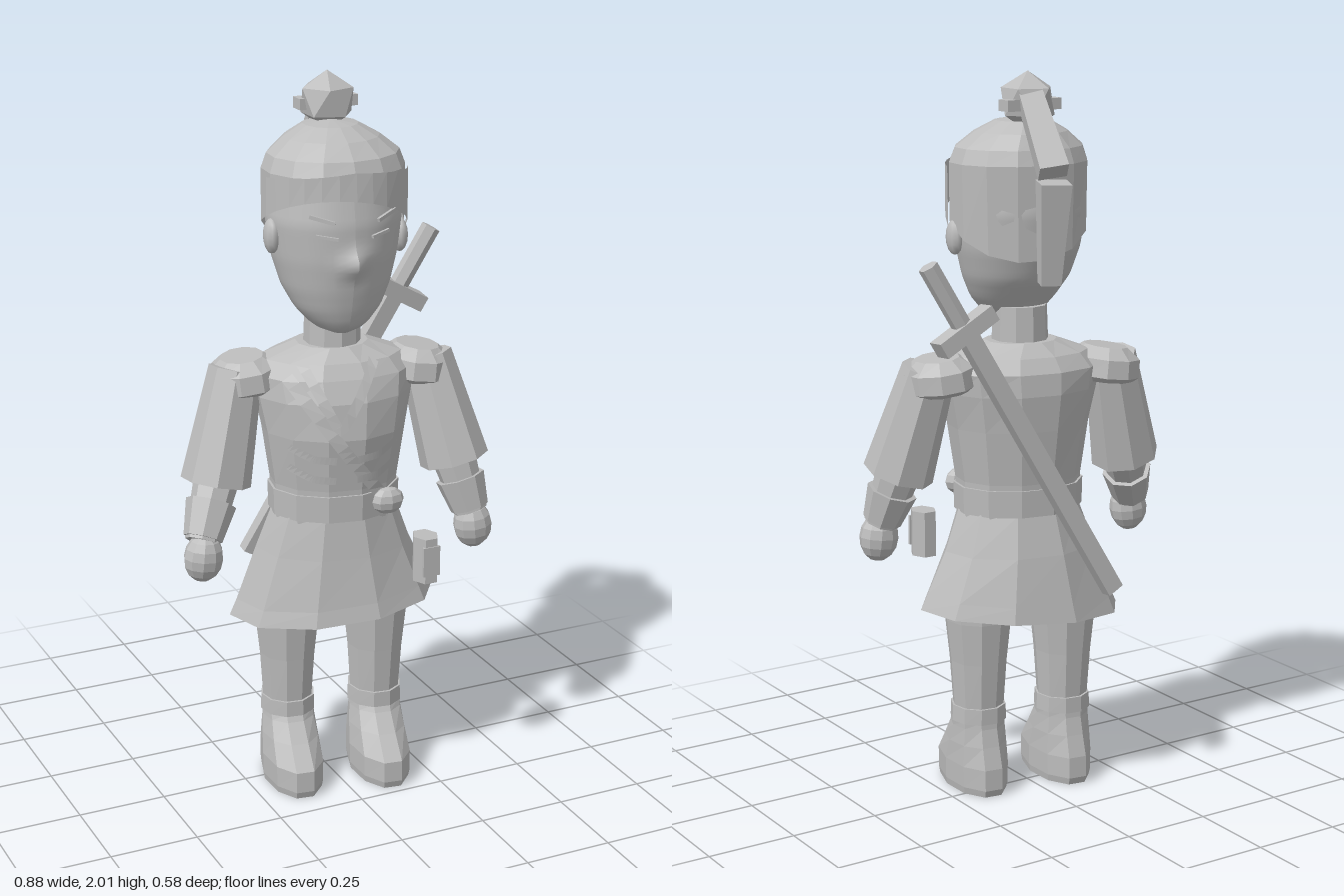
import * as THREE from 'three';

const grey = new THREE.MeshStandardMaterial({ color: 0xbcbcbc, side: THREE.DoubleSide });
grey.name = 'plainGrey';

const V = (x, y, z) => new THREE.Vector3(x, y, z);

function add(parent, name, geo, pos = [0, 0, 0], rot = [0, 0, 0], smooth = false) {
  if (!smooth) {
    if (geo.index) geo = geo.toNonIndexed();
    geo.computeVertexNormals();
  }
  const mesh = new THREE.Mesh(geo, grey);
  mesh.name = name;
  mesh.position.set(...pos);
  mesh.rotation.set(...rot);
  parent.add(mesh);
  return mesh;
}

function group(parent, name, pos, rot) {
  const g = new THREE.Group();
  g.name = name;
  g.position.set(...pos);
  g.rotation.set(...rot);
  parent.add(g);
  return g;
}

// Rows of points from point(u, v), v going upward; optional caps close both ends
function grid(nu, nv, point, capped) {
  const pos = [], idx = [], w = nu + 1;
  for (let j = 0; j <= nv; j++)
    for (let i = 0; i <= nu; i++) pos.push(...point(i / nu, j / nv));
  for (let j = 0; j < nv; j++)
    for (let i = 0; i < nu; i++) {
      const a = j * w + i, b = a + 1, c = a + w, d = c + 1;
      idx.push(a, b, d, a, d, c);
    }
  if (capped)
    for (let i = 1; i < nu - 1; i++) {
      const t = nv * w;
      idx.push(0, i + 1, i, t, t + i, t + i + 1);
    }
  const g = new THREE.BufferGeometry();
  g.setAttribute('position', new THREE.Float32BufferAttribute(pos, 3));
  g.setIndex(idx);
  g.computeVertexNormals();
  return g;
}

// Interpolate cross-sections [y, centreZ, radiusX, radiusZ] at height y
function sectionAt(sections, y) {
  let k = 0;
  while (k < sections.length - 2 && y > sections[k + 1][0]) k++;
  const a = sections[k], b = sections[k + 1];
  const t = THREE.MathUtils.clamp((y - a[0]) / (b[0] - a[0]), 0, 1);
  return a.map((n, i) => n + (b[i] - n) * t);
}

function ring([y, cz, rx, rz], angle) {
  return [rx * Math.sin(angle), y, cz + rz * Math.cos(angle)];
}

function loft(sections, sides) {
  return grid(sides, sections.length - 1, (u, v) =>
    ring(sections[Math.round(v * (sections.length - 1))], (u + 0.5 / sides) * Math.PI * 2), true);
}

// Tapered limb from point a to point b
function limb(parent, name, a, b, ra, rb, sides, depth = 1) {
  const geo = new THREE.CylinderGeometry(rb, ra, a.distanceTo(b), sides);
  geo.rotateY(Math.PI / sides);
  geo.scale(1, 1, depth);
  const mesh = add(parent, name, geo);
  mesh.position.copy(a).lerp(b, 0.5);
  mesh.quaternion.setFromUnitVectors(V(0, 1, 0), b.clone().sub(a).normalize());
  return mesh;
}

const TORSO = [[0.8, 0.02, 0.175, 0.14], [0.9, 0.02, 0.178, 0.145], [1.05, 0.02, 0.2, 0.165],
  [1.15, 0.01, 0.22, 0.165], [1.21, 0, 0.23, 0.15], [1.25, 0, 0.195, 0.125], [1.285, 0, 0.1, 0.09]];
const HAIR = [[1.5, 0.012, 0.185, 0.165], [1.62, 0.012, 0.195, 0.17], [1.77, 0.012, 0.195, 0.17],
  [1.81, 0.01, 0.18, 0.155], [1.85, 0, 0.13, 0.12], [1.88, -0.01, 0.075, 0.075], [1.89, -0.01, 0.01, 0.01]];
const FACE = [[1.33, 0.06, 0.03, 0.04], [1.35, 0.055, 0.075, 0.08], [1.4, 0.045, 0.12, 0.108],
  [1.46, 0.027, 0.15, 0.14], [1.54, 0.016, 0.172, 0.162], [1.64, 0.012, 0.186, 0.168], [1.8, 0.01, 0.165, 0.14]];

function buildHead(root) {
  const head = group(root, 'head', [0.02, 0, 0], [0, -0.08, 0]);
  add(head, 'neck', new THREE.CylinderGeometry(0.075, 0.08, 0.14, 10), [0, 1.31, 0.005]);

  // Smooth face with a nose bulge
  add(head, 'face', grid(36, 30, (u, v) => {
    const y = 1.33 + v * 0.47, a = u * Math.PI * 2;
    const p = ring(sectionAt(FACE, y), a);
    if (Math.cos(a) > 0)
      p[2] += 0.034 * Math.exp(-((p[0] / 0.028) ** 2) - ((y - 1.54) / 0.032) ** 2);
    return p;
  }, true), [0, 0, 0], [0, 0, 0], true);

  // Hair cap: high over the brow, low at the nape
  const hairLine = a => 1.62 + 0.1 * Math.cos(a) - 0.03 * Math.sin(a);
  const heights = [0, 1.77, 1.81, 1.85, 1.88, 1.89];
  add(head, 'hair', grid(14, 5, (u, v) => {
    const a = u * Math.PI * 2, k = Math.round(v * 5);
    return ring(sectionAt(HAIR, k ? heights[k] : hairLine(a)), a);
  }));
  add(head, 'headband', grid(12, 1, (u, v) => {
    const a = (u - 0.5) * 2.8;
    const s = sectionAt(HAIR, v ? 1.785 - 0.05 * Math.abs(u - 0.5) : hairLine(a) - 0.01);
    return ring([s[0], s[1], s[2] + 0.007, s[3] + 0.009], a);
  }));

  for (const side of [-1, 1]) {
    const ear = new THREE.SphereGeometry(1, 10, 8).scale(0.022, 0.048, 0.032);
    add(head, 'ear', ear, [side * 0.182, 1.585 - side * 0.014, 0.035], [0, 0, 0], true);
    add(head, 'eye', new THREE.BoxGeometry(0.06, 0.008, 0.008), [side * 0.075, 1.615, 0.168], [0, side * 0.4, side * 0.15]);
    add(head, 'eyebrow', new THREE.BoxGeometry(0.07, 0.01, 0.008), [side * 0.09, 1.665, 0.172], [0, side * 0.5, side * 0.25]);
  }

  // Topknot and its hanging tail
  add(root, 'topknot', new THREE.IcosahedronGeometry(0.08, 0).rotateZ(0.5536), [0.03, 1.932, -0.05]);
  add(root, 'topknotTie', new THREE.BoxGeometry(0.17, 0.03, 0.045), [0.035, 1.925, -0.07]);
  limb(root, 'upperTail', V(0.045, 1.955, -0.08), V(0.078, 1.765, -0.245), 0.045, 0.055, 4, 0.7);
  limb(root, 'lowerTail', V(0.08, 1.74, -0.25), V(0.075, 1.47, -0.222), 0.058, 0.038, 4, 0.85);
}

function buildBody(root) {
  const body = group(root, 'body', [0.02, 0, 0], [0, -0.19, 0]);
  add(body, 'torso', loft(TORSO, 12));
  add(body, 'belt', loft([[0.81, 0.02, 0.182, 0.148], [0.885, 0.02, 0.184, 0.15]], 12));

  // Flared skirt with a slanting hem
  const hem = loft([[0.52, 0.008, 0.295, 0.2], [0.565, 0.008, 0.275, 0.19],
    [0.7, 0.012, 0.22, 0.165], [0.815, 0.02, 0.178, 0.142]], 10);
  const p = hem.attributes.position;
  for (let i = 0; i < p.count; i++)
    if (p.getY(i) < 0.6) p.setY(i, p.getY(i) + p.getX(i) * 0.07);
  add(body, 'skirt', hem);

  // Ribbons lying on the chest
  const ribbon = (name, points, width) => {
    const curve = new THREE.CatmullRomCurve3(points.map(q => V(q[0], q[1], 0)), false, 'catmullrom', 0.1);
    add(body, name, grid(12, 1, (u, v) => {
      const c = curve.getPoint(u), t = curve.getTangent(u), o = (v - 0.5) * width;
      const x = c.x - t.y * o, y = c.y + t.x * o, s = sectionAt(TORSO, y);
      return [x, y, s[1] + s[3] * Math.sqrt(Math.max(0, 1 - (x / s[2]) ** 2)) + 0.005];
    }));
  };
  ribbon('collar', [[-0.11, 1.255], [-0.02, 1.08], [0.09, 1.255]], 0.028);
  ribbon('shoulderStrap', [[-0.15, 1.22], [0.0, 1.01], [0.11, 0.87]], 0.035);
  for (const side of [-1, 1])
    for (const y of [0.94, 1.0])
      ribbon('clothFold', [[side * 0.15, y + 0.03], [side * 0.09, y], [side * 0.03, y - 0.005]], 0.022);

  add(root, 'buckle', new THREE.SphereGeometry(1, 8, 6).scale(0.048, 0.038, 0.03), [0.11, 0.86, 0.175]);

  // Hanging pouch with a raised front frame
  const pouch = group(root, 'pouch', [0.19, 0.705, 0.245], [0, 0, 0]);
  add(pouch, 'pouchCase', new THREE.CylinderGeometry(0.045, 0.045, 0.13, 6).scale(0.98, 1, 0.8).rotateY(Math.PI / 2));
  add(pouch, 'pouchPanel', new THREE.BoxGeometry(0.05, 0.085, 0.009), [0, 0, 0.037]);
}

function buildArm(root, name, q) {
  const arm = group(root, name, [0, 0, 0], [0, 0, 0]);
  add(arm, 'shoulderPad', loft([[-0.05, 0, 0.085, 0.085], [-0.035, 0, 0.103, 0.11],
    [0.015, 0, 0.1, 0.105], [0.045, 0, 0.06, 0.07]], 10), [q.pad.x, 1.207, q.pad.z], [0, -0.19, q.side * -0.12]);
  limb(arm, 'sleeve', q.shoulder, q.elbow, 0.08, 0.105, 8, 0.92);
  limb(arm, 'forearm', q.elbow, q.wrist, 0.062, 0.048, 8);
  const cuffTop = q.elbow.clone().lerp(q.wrist, 0.35), cuffEnd = q.elbow.clone().lerp(q.wrist, 0.95);
  limb(arm, 'bracer', cuffTop, cuffEnd, 0.07, 0.054, 8);
  add(arm, 'hand', new THREE.SphereGeometry(1, 10, 8).scale(0.056, 0.068, 0.05),
    q.hand.toArray(), [0, 0, q.side * 0.1]);
}

function buildLeg(root, name, x, z) {
  const leg = group(root, name, [x, 0, z], [0, -0.15, 0]);
  add(leg, 'trouserLeg', loft([[0.22, 0, 0.07, 0.074], [0.38, 0, 0.08, 0.088],
    [0.5, 0, 0.093, 0.1], [0.62, 0, 0.1, 0.1]], 10));
  add(leg, 'boot', loft([[0, 0.04, 0.08, 0.15], [0.02, 0.04, 0.083, 0.157], [0.08, 0.04, 0.084, 0.155],
    [0.14, 0.02, 0.08, 0.115], [0.19, 0.005, 0.075, 0.087], [0.21, 0, 0.075, 0.08]], 10));
  add(leg, 'bootCuff', loft([[0.205, 0, 0.079, 0.084], [0.25, 0, 0.077, 0.084]], 10));
}

function buildSword(root) {
  // Slung diagonally across the back, hilt above the left shoulder
  const tip = V(-0.135, 0.6, -0.225), hilt = V(0.385, 1.53, -0.122);
  const sword = group(root, 'sword', [0, 0, 0], [0, 0, 0]);
  const length = tip.distanceTo(hilt);
  const dir = hilt.clone().sub(tip).normalize();
  sword.position.copy(tip);
  const side = V(0, 0, 1).addScaledVector(dir, -dir.z).normalize();
  const across = dir.clone().cross(side);
  sword.quaternion.setFromRotationMatrix(new THREE.Matrix4().makeBasis(across, dir, side));
  const guardAt = length * 0.81;
  add(sword, 'scabbard', new THREE.BoxGeometry(0.05, guardAt, 0.038), [0, guardAt / 2, 0]);
  add(sword, 'guard', new THREE.BoxGeometry(0.18, 0.045, 0.06), [0, guardAt, 0]);
  add(sword, 'grip', new THREE.CylinderGeometry(0.027, 0.027, length - guardAt, 6), [0, (length + guardAt) / 2, 0]);
}

export function createModel() {
  const root = new THREE.Group();
  root.name = 'swordBearer';
  buildHead(root);
  buildBody(root);
  buildArm(root, 'rightArm', { side: -1, pad: V(-0.215, 0, -0.06), shoulder: V(-0.24, 1.22, -0.055),
    elbow: V(-0.318, 0.915, -0.02), wrist: V(-0.387, 0.775, 0.045), hand: V(-0.39, 0.735, 0.06) });
  buildArm(root, 'leftArm', { side: 1, pad: V(0.26, 0, 0.035), shoulder: V(0.285, 1.22, 0.045),
    elbow: V(0.345, 0.925, 0.115), wrist: V(0.378, 0.78, 0.155), hand: V(0.383, 0.74, 0.16) });
  buildLeg(root, 'rightLeg', -0.113, -0.008);
  buildLeg(root, 'leftLeg', 0.138, 0.04);
  buildSword(root);
  return root;
}
